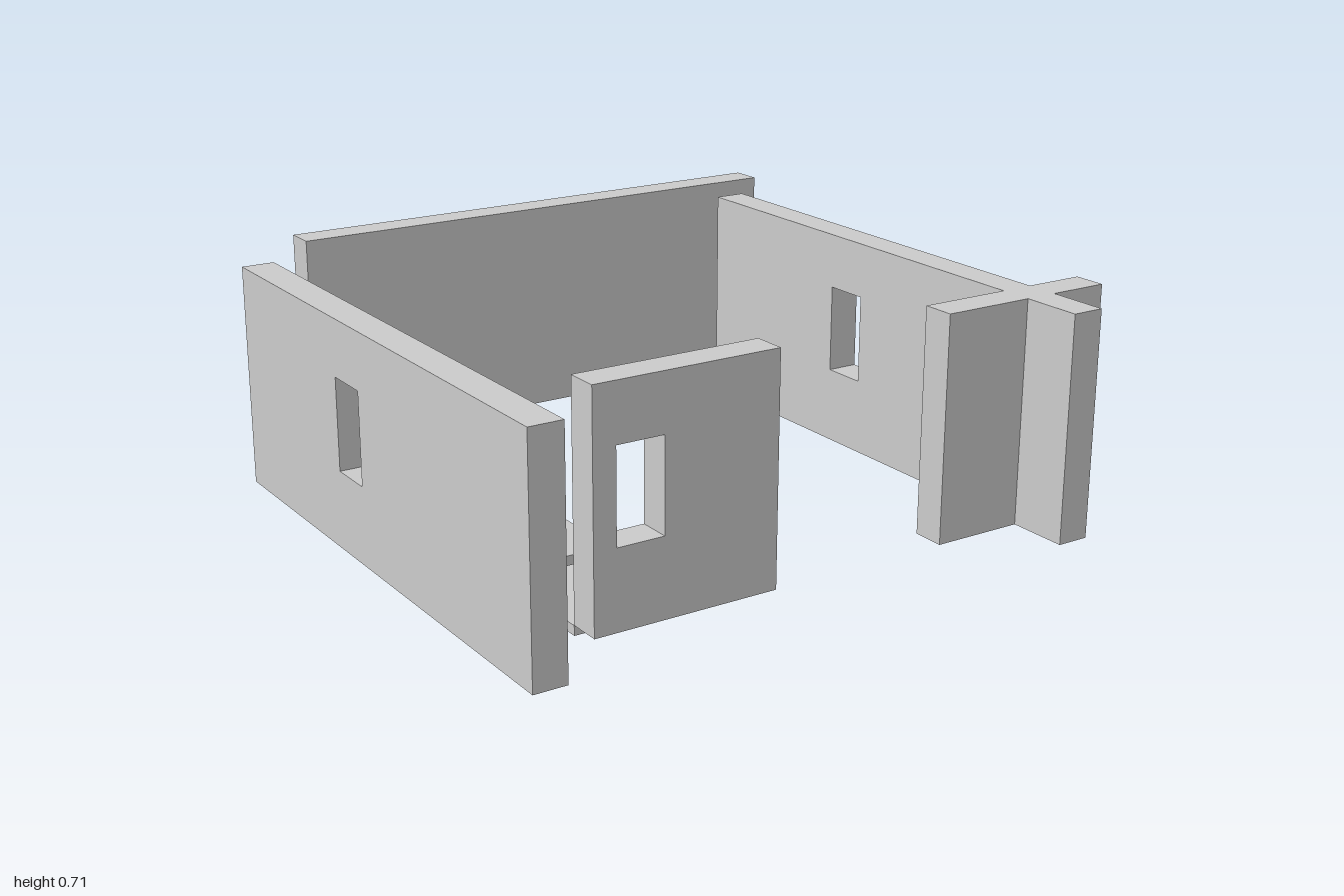
import * as THREE from 'three';

const material = new THREE.MeshStandardMaterial({ color: 0xcccccc, flatShading: true });
const T = 0.1;                      // wall thickness
const BASE = 0.03, TOP = 0.71;      // wall bottom and top
const SILL = 0.265, HEAD = 0.54;    // window bottom and top

// Wall from a to b along x, extruded along +z, with an optional window [from, to]
function wallGeometry(a, b, opening) {
  const shape = new THREE.Shape();
  shape.moveTo(a, BASE).lineTo(b, BASE).lineTo(b, TOP).lineTo(a, TOP).closePath();
  if (opening) {
    const [l, r] = opening;
    const hole = new THREE.Path();
    hole.moveTo(l, SILL).lineTo(l, HEAD).lineTo(r, HEAD).lineTo(r, SILL).closePath();
    shape.holes.push(hole);
  }
  return new THREE.ExtrudeGeometry(shape, { depth: T, bevelEnabled: false });
}

export function createModel() {
  const model = new THREE.Group();
  model.name = 'wallLayout';

  const add = (name, geometry) => {
    const mesh = new THREE.Mesh(geometry, material);
    mesh.name = name;
    model.add(mesh);
  };
  // Wall running along x, its back face at z
  const wallX = (name, x0, x1, z, opening) =>
    add(name, wallGeometry(x0, x1, opening).translate(0, 0, z));
  // Wall running along z, its right (-x) face at x
  const wallZ = (name, z0, z1, x, opening) =>
    add(name, wallGeometry(z0, z1, opening).rotateY(-Math.PI / 2).translate(x + T, 0, 0));
  // Floor slab between two corners
  const slab = (name, x0, x1, y0, y1, z0, z1) =>
    add(name, new THREE.BoxGeometry(x1 - x0, y1 - y0, z1 - z0)
      .translate((x0 + x1) / 2, (y0 + y1) / 2, (z0 + z1) / 2));

  // Long walls
  wallX('backWall', -0.714, 1, -1);
  wallZ('rightWall', -0.714, 1, -1, [-0.072, 0.072]);
  wallZ('leftWall', -0.714, 1, 0.714, [-0.072, 0.072]);

  // Short wall with a window, and the two stubs crossing the left wall
  wallX('frontWall', -0.714, -0.143, 0.714, [-0.645, -0.5]);
  wallX('innerCrossWall', 0.429, 0.714, 0.714);
  wallX('outerCrossWall', 0.814, 1, 0.714);

  // Two thin platforms behind the short wall, one floating above the other
  slab('lowerPlatform', -0.714, -0.43, 0, 0.029, 0.143, 0.714);
  slab('upperPlatform', -0.714, -0.43, 0.057, 0.086, 0.143, 0.425);

  return model;
}
